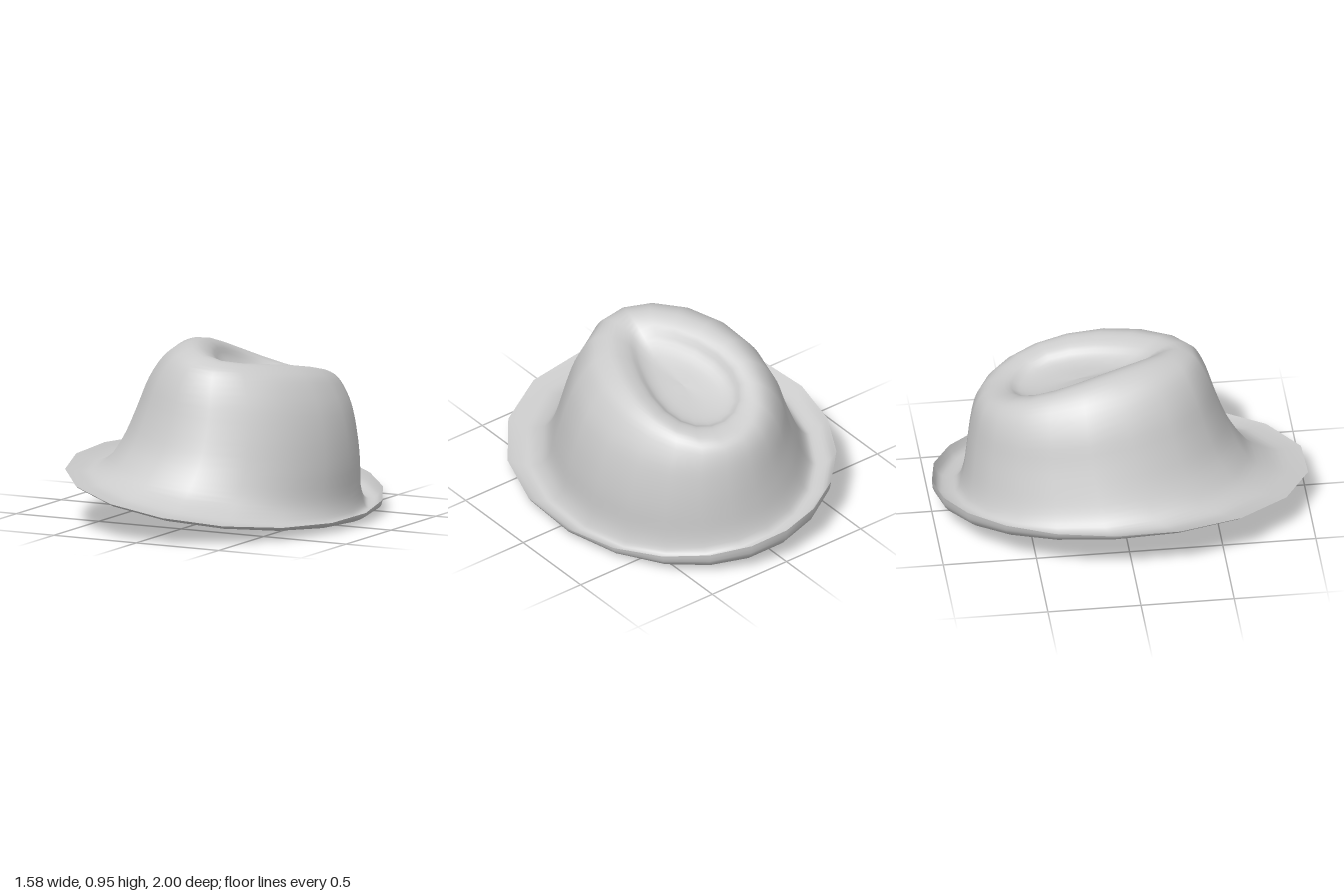
import * as THREE from 'three';

const SEGMENTS = 19;
const material = new THREE.MeshStandardMaterial({ color: 0xcccccc, side: THREE.DoubleSide });

// Catmull-Rom blend of the ring parameters at position t (0..1) along the list
function ringAt(rings, t) {
  const p = t * (rings.length - 1);
  const k = Math.min(Math.floor(p), rings.length - 2);
  const f = p - k;
  const get = (i) => rings[Math.max(0, Math.min(rings.length - 1, i))];
  return rings[k].map((b, n) => {
    const a = get(k - 1)[n], c = get(k + 1)[n], d = get(k + 2)[n];
    return b + 0.5 * f * (c - a + f * (2 * a - 5 * b + 4 * c - d + f * (3 * (b - c) + d - a)));
  });
}

// Ring: [xRight, xLeft, zFront, zBack, heights at those four points, front taper]
function loft(name, rings, steps) {
  const rows = (rings.length - 1) * steps;
  const positions = [], index = [];
  for (let j = 0; j <= rows; j++) {
    const [x0, x1, zf, zb, y0, y1, yf, yb, taper] = ringAt(rings, j / rows);
    for (let i = 0; i < SEGMENTS; i++) {
      // Corners start at the back and spread wider toward the front
      const u = (i / SEGMENTS) * Math.PI * 2;
      const a = u - 0.2 * Math.sin(u) - Math.PI / 2;
      const c = Math.cos(a), s = Math.sin(a);
      positions.push(
        (x0 + x1) / 2 + ((x1 - x0) / 2) * c * (1 - taper * s),
        ((y0 + y1) * c * c + (yf + yb) * s * s + (y1 - y0) * c + (yf - yb) * s) / 2,
        (zf + zb) / 2 + ((zf - zb) / 2) * s
      );
      if (j === rows) continue;
      const n = (i + 1) % SEGMENTS;
      const A = j * SEGMENTS + i, B = j * SEGMENTS + n;
      index.push(A, A + SEGMENTS, B, B, A + SEGMENTS, B + SEGMENTS);
    }
  }
  const geometry = new THREE.BufferGeometry();
  geometry.setAttribute('position', new THREE.Float32BufferAttribute(positions, 3));
  geometry.setIndex(index);
  geometry.computeVertexNormals();
  const mesh = new THREE.Mesh(geometry, material);
  mesh.name = name;
  return mesh;
}

export function createModel() {
  const hat = new THREE.Group();
  hat.name = 'hat';

  const rim = [-0.8, 0.795, 1.02, -1, 0.31, 0.055, 0.17, 0.2, 0];
  const opening = [-0.6, 0.64, 0.63, -0.82, 0.27, 0.07, 0.2, 0.15, 0];

  // Upper side: brim with a steep back lip, fillet, leaning crown
  const brimTop = [
    rim,
    [-0.76, 0.76, 0.96, -0.97, 0.285, 0.035, 0.165, 0.13, 0],
    [-0.7, 0.71, 0.86, -0.91, 0.265, 0.03, 0.17, 0.11, 0],
    [-0.655, 0.68, 0.75, -0.86, 0.28, 0.07, 0.22, 0.125, 0],
  ];
  const crown = [
    [-0.605, 0.66, 0.68, -0.83, 0.34, 0.15, 0.29, 0.2, 0],
    [-0.55, 0.65, 0.61, -0.81, 0.45, 0.3, 0.4, 0.32, 0],
    [-0.495, 0.625, 0.55, -0.795, 0.58, 0.46, 0.56, 0.43, 0],
    [-0.44, 0.58, 0.5, -0.775, 0.72, 0.61, 0.72, 0.55, 0.02],
    [-0.365, 0.51, 0.45, -0.75, 0.835, 0.73, 0.83, 0.63, 0.06],
    [-0.285, 0.45, 0.4, -0.71, 0.9, 0.785, 0.88, 0.68, 0.14],
    [-0.21, 0.39, 0.32, -0.65, 0.918, 0.81, 0.9, 0.705, 0.26],
  ];
  // Teardrop dent in the top, pointed toward the front
  const dent = [
    [-0.14, 0.31, 0.23, -0.58, 0.885, 0.79, 0.87, 0.71, 0.38],
    [-0.1, 0.26, 0.15, -0.52, 0.82, 0.75, 0.82, 0.685, 0.42],
    [-0.03, 0.19, 0.04, -0.41, 0.775, 0.735, 0.78, 0.69, 0.42],
    [0.08, 0.081, -0.2, -0.201, 0.74, 0.74, 0.74, 0.74, 0],
  ];
  hat.add(loft('crownAndBrim', [...brimTop, ...crown, ...dent], 3));

  // Underside of the brim, from the head opening out to the rim
  hat.add(loft('brimUnderside', [
    opening,
    [-0.69, 0.69, 0.87, -0.91, 0.235, 0.005, 0.14, 0.07, 0],
    [-0.775, 0.775, 0.98, -0.985, 0.28, 0.03, 0.15, 0.125, 0],
    rim,
  ], 3));

  // Narrow inner band joining the opening to the crown
  hat.add(loft('innerBand', [crown[0], opening], 1));

  return hat;
}
